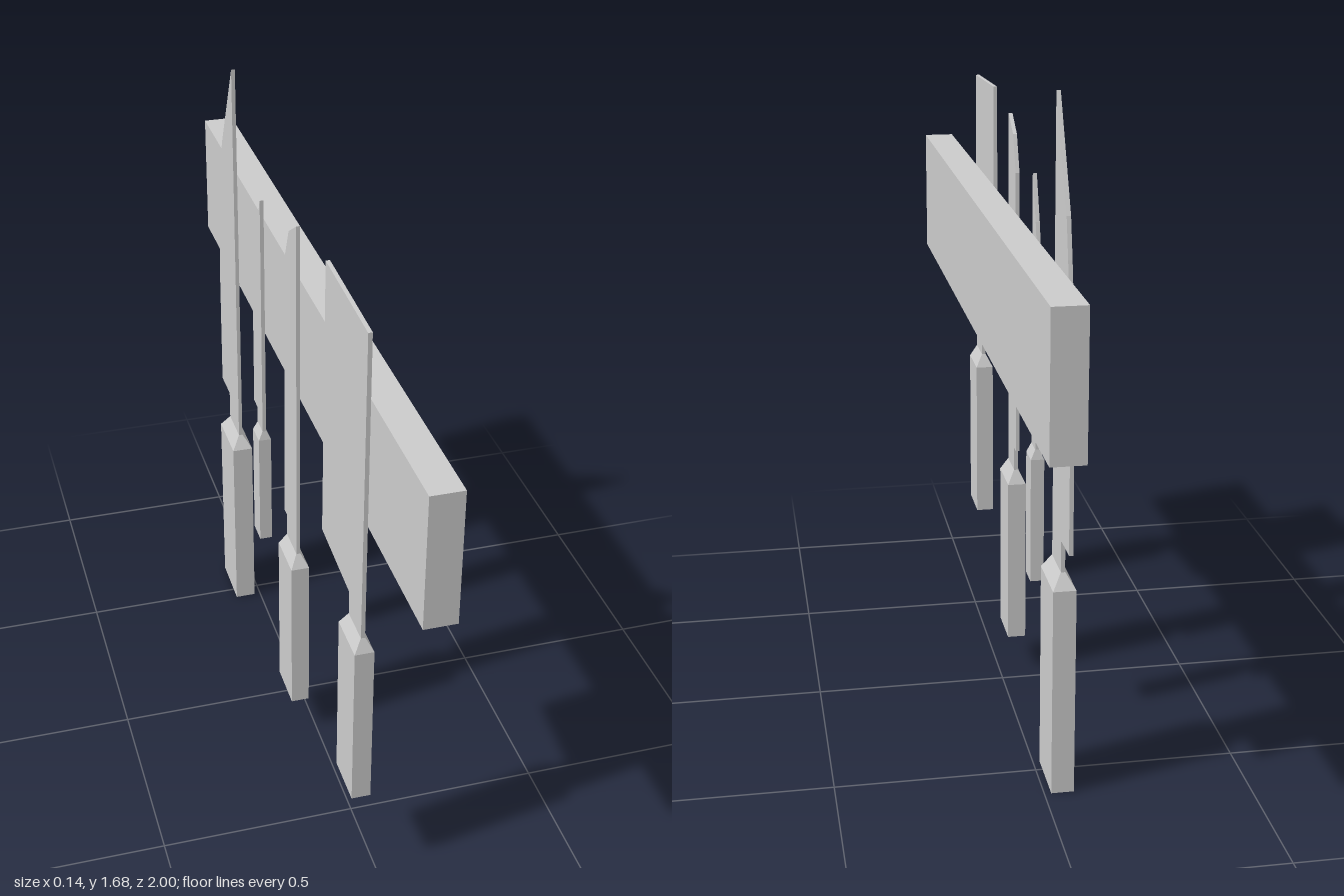
import * as THREE from 'three';

const grey = new THREE.MeshStandardMaterial({ color: 0xcccccc, flatShading: true });
const BLADE_X = -0.045;
const THICKNESS = 0.01;

// Flat blade cut from an outline of [z, y] points
function blade(outline) {
  const shape = new THREE.Shape(outline.map(([z, y]) => new THREE.Vector2(-z, y)));
  const geo = new THREE.ExtrudeGeometry(shape, { depth: THICKNESS, bevelEnabled: false });
  geo.rotateY(Math.PI / 2);
  geo.translate(BLADE_X - THICKNESS / 2, 0, 0);
  return new THREE.Mesh(geo, grey);
}

// Rectangular grip whose shoulder narrows to the tang of the blade
function handle({ z, y, width, tang }) {
  const [bottom, shoulder, top] = y;
  const geo = new THREE.BoxGeometry(1, 2, 1, 1, 2, 1);
  const p = geo.attributes.position;
  for (let i = 0; i < p.count; i++) {
    const level = Math.round(p.getY(i)) + 1;
    const span = level === 2 ? tang : z;
    const w = level === 2 ? THICKNESS + 0.001 : width;
    p.setXYZ(i, BLADE_X + p.getX(i) * w, [bottom, shoulder, top][level], p.getZ(i) > 0 ? span[1] : span[0]);
  }
  geo.computeVertexNormals();
  return new THREE.Mesh(geo, grey);
}

const knives = [
  {
    name: 'cleaver',
    grip: { z: [0.59, 0.72], y: [0.26, 0.71, 0.745], width: 0.048, tang: [0.608, 0.705] },
    outline: [[0.705, 0.74], [0.705, 1.55], [0.39, 1.562], [0.38, 0.83], [0.608, 0.808], [0.608, 0.74]],
  },
  {
    name: 'santokuKnife',
    grip: { z: [0.035, 0.165], y: [0.105, 0.552, 0.588], width: 0.048, tang: [0.052, 0.145] },
    outline: [[0.145, 0.58], [0.145, 1.53], [0.078, 1.487], [0.038, 1.395], [0.036, 1.3],
      [0.032, 0.99], [0.026, 0.65], [0.052, 0.65], [0.052, 0.58]],
  },
  {
    name: 'paringKnife',
    grip: { z: [-0.26, -0.195], y: [0.402, 0.73, 0.755], width: 0.034, tang: [-0.254, -0.2] },
    outline: [[-0.2, 0.75], [-0.2, 1.44], [-0.242, 1.33], [-0.272, 1.22], [-0.288, 1.08],
      [-0.29, 0.802], [-0.254, 0.802], [-0.254, 0.75]],
  },
  {
    name: 'chefKnife',
    grip: { z: [-0.615, -0.46], y: [0, 0.532, 0.57], width: 0.056, tang: [-0.59, -0.482] },
    outline: [[-0.482, 0.56], [-0.482, 1.68], [-0.61, 1.425], [-0.632, 1.33], [-0.665, 1.16],
      [-0.676, 0.99], [-0.68, 0.65], [-0.59, 0.65], [-0.59, 0.56]],
  },
];

export function createModel() {
  const model = new THREE.Group();
  model.name = 'knifeRack';

  // Long holding bar
  const bar = new THREE.Mesh(new THREE.BoxGeometry(0.08, 0.34, 2), grey);
  bar.position.set(0.03, 1.16, 0);
  bar.name = 'rackBar';
  model.add(bar);

  // Knives hanging in a row beside the bar
  for (const { name, grip, outline } of knives) {
    const knife = new THREE.Group();
    knife.name = name;
    const bladeMesh = blade(outline);
    bladeMesh.name = 'blade';
    const handleMesh = handle(grip);
    handleMesh.name = 'handle';
    knife.add(bladeMesh, handleMesh);
    model.add(knife);
  }
  return model;
}
